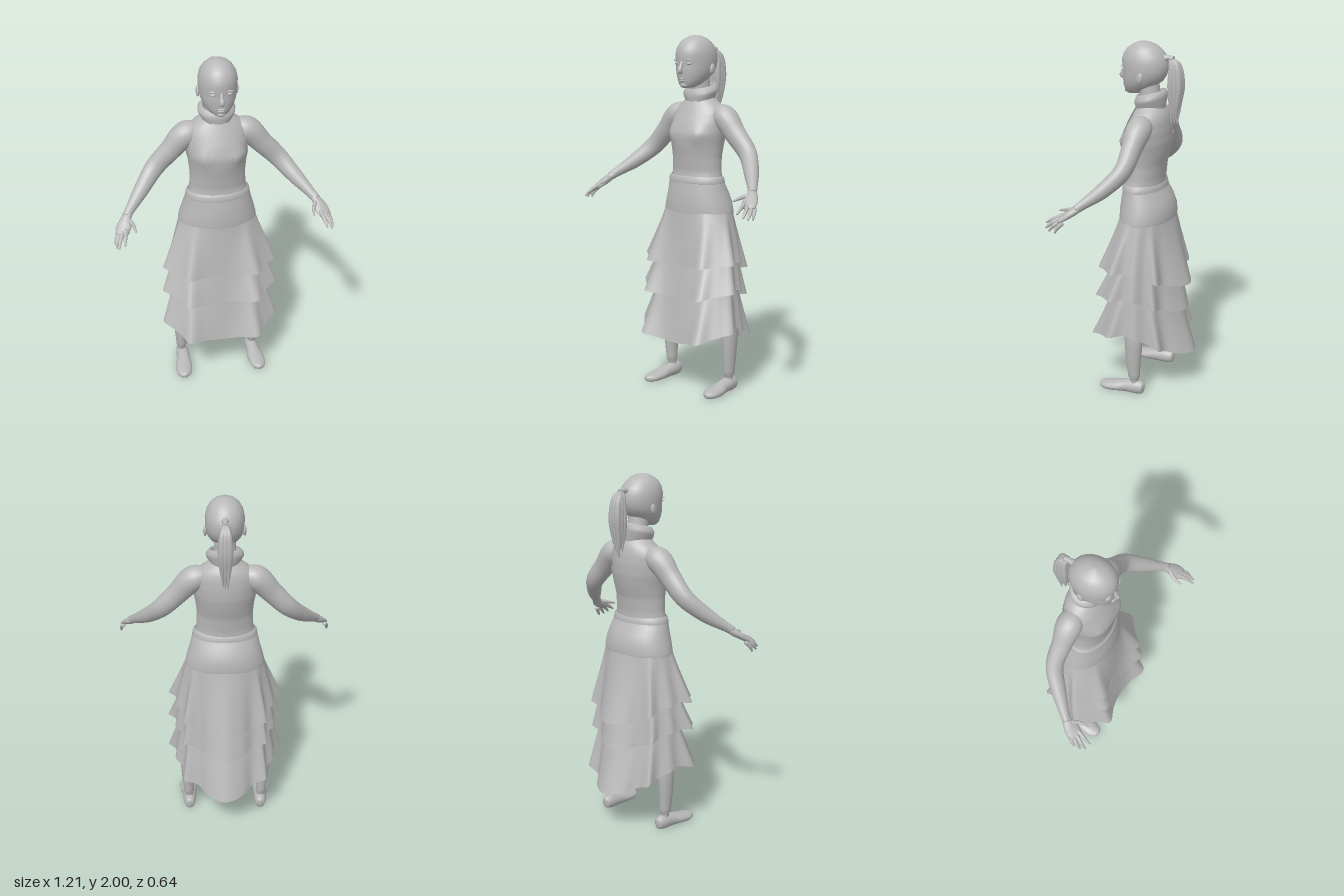
import * as THREE from 'three';
import { mergeVertices } from 'three/addons/utils/BufferGeometryUtils.js';

const grey = new THREE.MeshStandardMaterial({ color: 0xb8b8b8 });
grey.name = 'plain grey';
const greyCloth = grey.clone();
greyCloth.name = 'plain grey cloth';
greyCloth.side = THREE.DoubleSide;

const V = (x, y, z) => new THREE.Vector3(x, y, z);
const lerp = THREE.MathUtils.lerp;

// Skin a stack of closed rings (counter-clockwise around the stacking direction)
function loft(rings) {
  const n = rings[0].length, index = [];
  const geo = new THREE.BufferGeometry().setFromPoints(rings.flat());
  for (let j = 0; j < rings.length - 1; j++) {
    for (let i = 0; i < n; i++) {
      const k = (i + 1) % n, a = j * n + i, b = j * n + k;
      index.push(a, b, b + n, a, b + n, a + n);
    }
  }
  geo.setIndex(index);
  const merged = mergeVertices(geo, 1e-5);
  merged.computeVertexNormals();
  return merged;
}

// Horizontal ring: half width, front z, back z
function ring(y, rx, zf, zb, n = 40) {
  return Array.from({ length: n }, (_, i) => {
    const a = (i / n) * Math.PI * 2;
    return V(Math.sin(a) * rx, y, (zf + zb) / 2 + Math.cos(a) * (zf - zb) / 2);
  });
}

// Tapered elliptical limb along a smooth path; rows are [x, y, z, r1, r2]
function limb(rows, ref = V(0, 0, 1), steps = 24, n = 16) {
  const path = new THREE.CatmullRomCurve3(rows.map(r => V(r[0], r[1], r[2])));
  const radii = new THREE.CatmullRomCurve3(rows.map(r => V(r[3], r[4] ?? r[3], 0)));
  const rings = [];
  for (let j = 0; j <= steps; j++) {
    const c = path.getPoint(j / steps), r = radii.getPoint(j / steps);
    const T = path.getTangent(j / steps);
    const s = ref.clone().cross(T).normalize(), o = T.clone().cross(s);
    rings.push(Array.from({ length: n }, (_, i) => {
      const a = (i / n) * Math.PI * 2;
      return c.clone().addScaledVector(s, Math.cos(a) * r.x).addScaledVector(o, Math.sin(a) * r.y);
    }));
  }
  const first = rings[0].map(() => path.getPoint(0)), last = rings[0].map(() => path.getPoint(1));
  return loft([first, ...rings, last]);
}

// Torso profile rows: y, half width, front z, back z
const TORSO = [
  [1.1, .17, .1, -.12], [1.18, .163, .095, -.105], [1.25, .15, .085, -.105], [1.33, .147, .095, -.115],
  [1.4, .154, .107, -.135], [1.46, .166, .112, -.147], [1.52, .168, .093, -.15], [1.58, .16, .065, -.145],
  [1.62, .13, .045, -.135], [1.65, .085, .03, -.115], [1.68, .06, .02, -.095], [1.79, .056, .03, -.08],
];
function torsoPoint(a, y, grow = 0) {
  let k = 0;
  while (k < TORSO.length - 2 && TORSO[k + 1][0] < y) k++;
  const p = TORSO[k], q = TORSO[k + 1], t = (y - p[0]) / (q[0] - p[0]);
  const [rx, zf, zb] = [1, 2, 3].map(i => lerp(p[i], q[i], t));
  const bust = .012 * Math.exp(-(((Math.abs(a) - .6) / .3) ** 2) - (((y - 1.455) / .045) ** 2));
  return V(Math.sin(a) * (rx + grow), y, (zf + zb) / 2 + Math.cos(a) * ((zf - zb) / 2 + grow) + bust);
}
const around = (n, f) => Array.from({ length: n }, (_, i) => f((i / n) * 2 * Math.PI - Math.PI));

// Height of the halter top's edge at each angle from the front
function bodiceTop(a) {
  const A = Math.abs(a) * 180 / Math.PI;
  const pts = [[0, 1.65], [22, 1.645], [24, 1.6], [36, 1.53], [55, 1.475], [80, 1.445], [105, 1.46], [130, 1.495], [180, 1.505]];
  let k = 0;
  while (k < pts.length - 2 && pts[k + 1][0] < A) k++;
  return lerp(pts[k][1], pts[k + 1][1], (A - pts[k][0]) / (pts[k + 1][0] - pts[k][0]));
}

// Rippled skirt hem, right half in plan [x, z] from front to back, mirrored
const HALF = [[0, .19], [.1, .205], [.2, .24], [.245, .175], [.29, .125], [.335, .07], [.29, 0],
  [.29, -.07], [.24, -.125], [.24, -.2], [.16, -.205], [.1, -.27], [0, -.315]];
const HEM = new THREE.CatmullRomCurve3(
  [...HALF, ...HALF.slice(1, -1).reverse().map(([x, z]) => [-x, z])].map(([x, z]) => V(x, 0, z)), true);

// Tier: top [y, rx, zf, zb], hem scale [x, front, back], hem heights [front, side, back]
function tier(top, scale, heights, n = 120, rows = 14) {
  const rings = [];
  for (let j = 0; j <= rows; j++) {
    const t = 1 - j / rows;
    rings.push(Array.from({ length: n }, (_, i) => {
      const h = HEM.getPoint(i / n), a = Math.atan2(h.x, h.z), c = Math.cos(a);
      const x0 = Math.sin(a) * top[1], z0 = (top[2] + top[3]) / 2 + c * (top[2] - top[3]) / 2;
      const hemY = lerp(heights[1], c > 0 ? heights[0] : heights[2], Math.abs(c) ** 1.5);
      const hz = h.z * (h.z > 0 ? scale[1] : scale[2]);
      return V(lerp(x0, h.x * scale[0], t), lerp(top[0], hemY, t), lerp(z0, hz, t ** 1.1));
    }));
  }
  return loft(rings);
}

export function createModel() {
  const model = new THREE.Group();
  const add = (name, geo, mat = grey) => {
    const m = new THREE.Mesh(geo, mat);
    m.name = name;
    model.add(m);
    return m;
  };
  const ball = (name, x, y, z, sx, sy, sz) => {
    const m = add(name, new THREE.SphereGeometry(1, 20, 14));
    m.position.set(x, y, z);
    m.scale.set(sx, sy, sz);
    return m;
  };

  // Head
  add('head', loft([
    [1.712, .001, .07, .068], [1.714, .03, .1, .03], [1.73, .056, .112, -.01], [1.76, .08, .117, -.065], [1.79, .094, .122, -.105],
    [1.82, .101, .122, -.125], [1.85, .104, .12, -.134], [1.89, .105, .128, -.136], [1.93, .097, .118, -.122],
    [1.96, .08, .097, -.095], [1.98, .06, .07, -.068], [1.994, .034, .04, -.036], [2, .001, .004, .002],
  ].map(r => ring(...r))));

  // Face
  add('nose', limb([[0, 1.856, .116, .008], [0, 1.83, .126, .011], [0, 1.806, .136, .014], [0, 1.795, .125, .011]], V(0, 0, 1), 12, 12));
  ball('upperLip', 0, 1.764, .115, .022, .006, .012);
  ball('lowerLip', 0, 1.753, .114, .018, .007, .011);
  ball('chin', 0, 1.728, .096, .026, .016, .02);
  for (const s of [1, -1]) {
    ball('eye', s * .042, 1.846, .105, .017, .008, .012);
    ball('eyebrow', s * .042, 1.866, .112, .024, .004, .008).rotation.z = -s * .1;
    ball('ear', s * .104, 1.815, -.018, .01, .03, .019).rotation.x = -.2;
  }

  // Ponytail made of tapered locks
  add('hairTie', limb([[0, 1.915, -.105, .025], [0, 1.92, -.145, .014], [0, 1.915, -.17, .016]], V(0, 1, 0), 10, 12));
  for (let i = 0; i < 9; i++) {
    const x = ((i % 3) - 1) * .018, d = (Math.floor(i / 3) - 1) * .023;
    add('ponytailLock', limb([
      [0, 1.917, -.15, .009], [x * .8, 1.885, -.178 + d * .6, .016], [x * 1.1, 1.78, -.186 + d, .02],
      [x, 1.68, -.182 + d * .8, .014], [x * .6, 1.56 + (i % 4) * .016, -.178 + d * .5, .003],
    ], V(1, 0, 0), 16, 8));
  }

  // Body and neck
  const torsoRings = [];
  for (let y = 1.1; y <= 1.781; y += .02) torsoRings.push(around(48, a => torsoPoint(a, y)));
  add('torso', loft(torsoRings));

  // Halter bodice and collar
  const bodiceRings = [];
  for (let j = 0; j <= 24; j++) {
    bodiceRings.push(around(96, a => torsoPoint(a, lerp(1.17, bodiceTop(a), j / 24), .007)));
  }
  add('bodice', loft(bodiceRings), greyCloth);
  add('collar', loft([
    [1.615, .068, .038, -.118], [1.645, .08, .042, -.122], [1.68, .1, .048, -.128],
    [1.7, .102, .048, -.128], [1.725, .083, .04, -.12], [1.715, .072, .032, -.11], [1.66, .062, .026, -.1],
  ].map(r => ring(...r).map(p => p.setY(p.y - .25 * (p.z + .04))))), greyCloth);

  // Skirt: waistband, hip yoke and three flared tiers
  add('waistband', loft([[1.185, .178, .104, -.118], [1.19, .182, .108, -.122], [1.215, .177, .104, -.117],
    [1.225, .166, .096, -.108]].map(r => ring(...r))), greyCloth);
  add('hipYoke', loft([[1.015, .222, .12, -.172], [1.03, .222, .122, -.174], [1.08, .21, .121, -.172],
    [1.13, .195, .115, -.155], [1.17, .185, .108, -.13], [1.195, .178, .104, -.118]].map(r => ring(...r))), greyCloth);
  add('upperTier', tier([1.03, .218, .12, -.17], [.97, .82, .9], [.725, .755, .64]), greyCloth);
  add('middleTier', tier([.84, .245, .12, -.17], [.99, .9, .85], [.54, .6, .485]), greyCloth);
  add('lowerTier', tier([.66, .25, .13, -.17], [1, 1, 1], [.285, .38, .225]), greyCloth);

  for (const s of [1, -1]) {
    const m = rows => rows.map(([x, ...r]) => [s * x, ...r]);

    // Arm
    add('arm', limb(m([[.09, 1.575, -.05, .045], [.17, 1.55, -.045, .07], [.25, 1.465, -.04, .061, .055],
      [.345, 1.365, -.03, .054, .046], [.43, 1.275, .045, .043, .04], [.505, 1.205, .13, .027, .025], [.525, 1.185, .155, .025, .022]]), V(0, 0, 1), 36, 20));

    // Hand
    add('palm', limb(m([[.51, 1.198, .14, .022], [.53, 1.175, .165, .03, .022], [.545, 1.15, .2, .042, .018],
      [.56, 1.128, .232, .038, .013], [.564, 1.12, .24, .028, .008]]), V(0, 1, 0), 16, 14));
    const fingers = [
      [[.532, 1.147, .225], [.545, 1.125, .275], [.552, 1.1, .318]],
      [[.553, 1.135, .23], [.574, 1.108, .275], [.582, 1.08, .305]],
      [[.57, 1.125, .222], [.588, 1.1, .255], [.594, 1.07, .28]],
      [[.578, 1.12, .205], [.592, 1.095, .228], [.597, 1.065, .243]],
      [[.52, 1.18, .175], [.497, 1.168, .215], [.487, 1.155, .27]],
    ];
    for (const f of fingers) {
      add('finger', limb(m(f.map((p, i) => [...p, [.012, .0105, .005][i]])), V(0, 1, 0), 10, 10));
    }

    // Leg and flat shoe
    add('leg', limb(m([[.215, .03, -.04, .03, .035], [.218, .1, -.036, .03, .035], [.222, .2, -.034, .035, .043],
      [.222, .32, -.035, .042, .052], [.212, .48, -.03, .046, .052], [.18, .7, -.025, .065, .07], [.12, 1.02, -.03, .085, .09]]), V(0, 0, 1), 30, 20));
    const shoe = limb(m([[.213, .035, -.096, .008, .02], [.213, .036, -.086, .028, .035], [.214, .038, -.045, .037, .042],
      [.216, .034, .02, .04, .036], [.222, .026, .08, .049, .03], [.226, .022, .13, .047, .026],
      [.226, .02, .165, .03, .02], [.225, .018, .177, .01, .01]]), V(0, 1, 0), 30, 20);
    const pos = shoe.attributes.position;
    for (let i = 0; i < pos.count; i++) pos.setY(i, Math.max(pos.getY(i), .004) - .004);
    shoe.computeVertexNormals();
    add('shoe', shoe);
  }
  return model;
}
